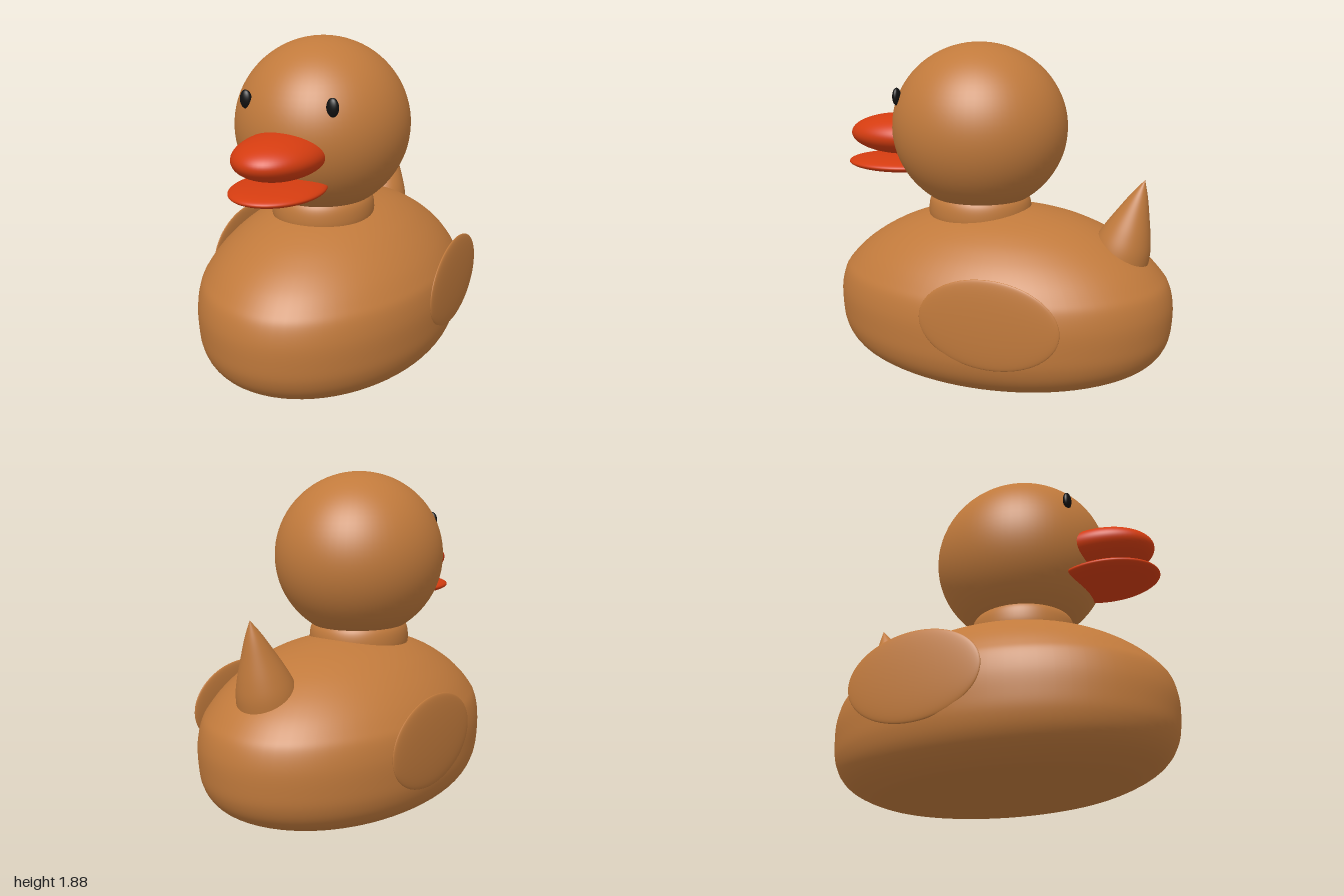
import * as THREE from 'three';

const plumage = new THREE.MeshStandardMaterial({ color: 0xc17a3c });
plumage.name = 'plumage brown';
const billRed = new THREE.MeshStandardMaterial({ color: 0xd43c10 });
billRed.name = 'bill red';
const eyeBlack = new THREE.MeshStandardMaterial({ color: 0x111111 });
eyeBlack.name = 'eye black';

const v2 = (pts) => pts.map(([r, y]) => new THREE.Vector2(r, y));

// Smooth surface of revolution through a few [radius, height] points
function turned(name, pts, samples) {
  const curve = new THREE.SplineCurve(v2(pts));
  const profile = curve.getPoints(samples);
  profile.forEach((p) => { p.x = Math.max(0, p.x); });
  const mesh = new THREE.Mesh(new THREE.LatheGeometry(profile, 72), plumage);
  mesh.name = name;
  return mesh;
}

// Sphere stretched to the given centre and radii
function ellipsoid(name, material, centre, radii) {
  const mesh = new THREE.Mesh(new THREE.SphereGeometry(1, 64, 40), material);
  mesh.name = name;
  mesh.position.set(...centre);
  mesh.scale.set(...radii);
  return mesh;
}

export function createModel() {
  const duck = new THREE.Group();
  duck.name = 'duck';

  // Oval body with a flat underside
  const body = turned('body', [
    [0.57, 0], [0.72, 0.022], [0.86, 0.08], [0.94, 0.145], [0.985, 0.23],
    [1, 0.33], [1, 0.44], [0.975, 0.54], [0.93, 0.605], [0.85, 0.685],
    [0.74, 0.765], [0.6, 0.84], [0.43, 0.9], [0.2, 0.943], [0, 0.955],
  ], 90);
  body.scale.x = 0.7;
  duck.add(body);

  const underside = new THREE.Mesh(new THREE.CircleGeometry(0.57, 72), plumage);
  underside.name = 'underside';
  underside.rotation.x = Math.PI / 2;
  underside.scale.x = 0.7;
  duck.add(underside);

  // Neck and head
  const neck = turned('neck', [
    [0.25, 0.8], [0.28, 0.87], [0.286, 0.93], [0.275, 0.99], [0.24, 1.04],
  ], 24);
  neck.position.z = 0.14;
  neck.scale.z = 1.05;
  duck.add(neck);
  duck.add(ellipsoid('head', plumage, [0, 1.4, 0.14], [0.48, 0.48, 0.505]));

  // Bill
  duck.add(ellipsoid('upperBill', billRed, [0, 1.335, 0.63], [0.23, 0.117, 0.315]));
  duck.add(ellipsoid('lowerBill', billRed, [0, 1.163, 0.66], [0.24, 0.046, 0.305]));

  // Eyes and wings, mirrored
  for (const [side, s] of [['left', 1], ['right', -1]]) {
    duck.add(ellipsoid(side + 'Eye', eyeBlack, [s * 0.25, 1.585, 0.54], [0.034, 0.05, 0.022]));
    duck.add(ellipsoid(side + 'Wing', plumage, [s * 0.69, 0.482, -0.16], [0.027, 0.25, 0.39]));
  }

  // Pointed tail leaning backwards
  const tail = turned('tail', [
    [0.17, 0], [0.158, 0.1], [0.132, 0.19], [0.09, 0.3], [0.045, 0.41], [0, 0.5],
  ], 30);
  tail.position.set(0, 0.68, -0.685);
  tail.rotation.x = -0.28;
  duck.add(tail);

  return duck;
}
